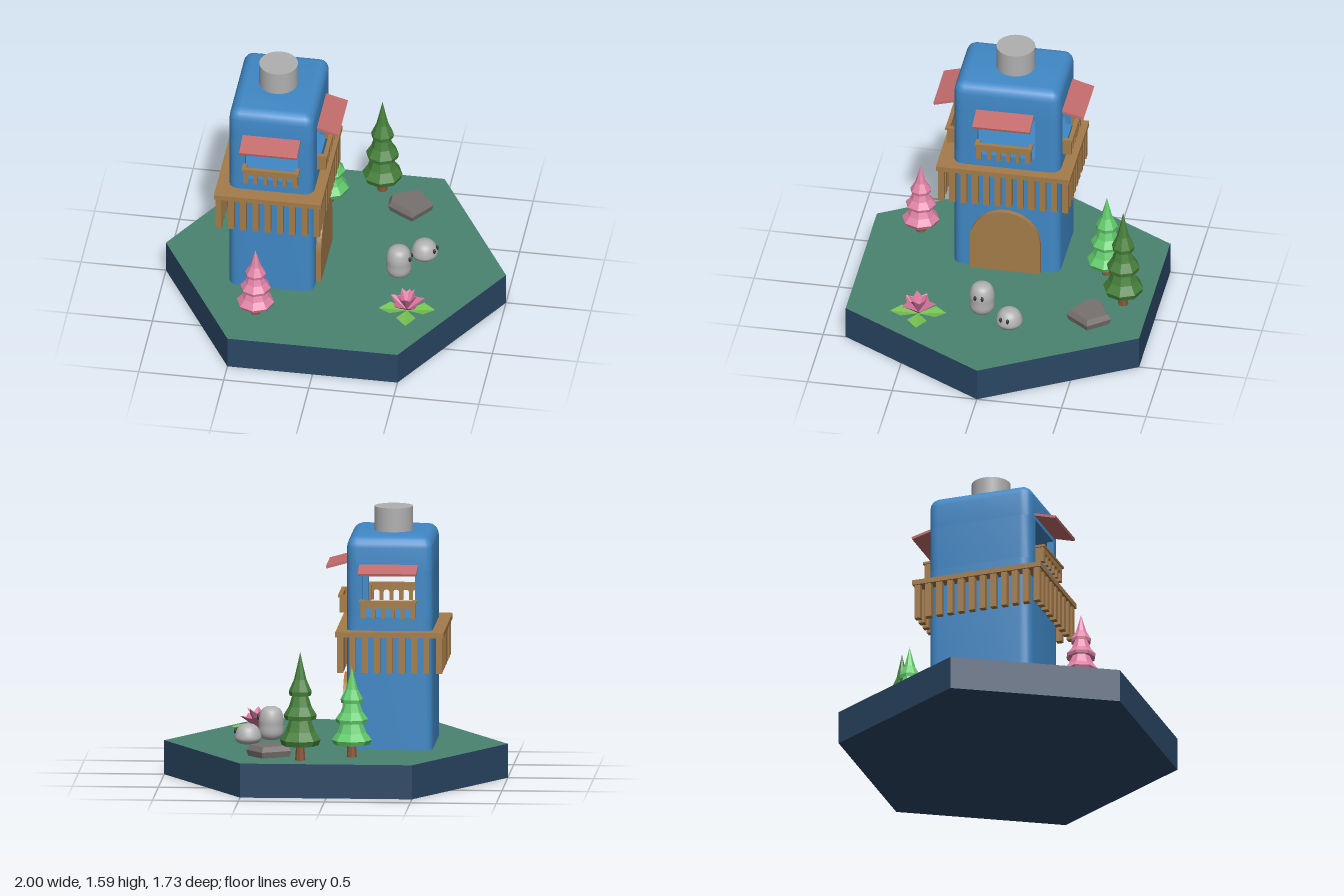
import * as THREE from 'three';
import { toCreasedNormals } from 'three/addons/utils/BufferGeometryUtils.js';
import { ConvexGeometry } from 'three/addons/geometries/ConvexGeometry.js';

const mat = (color, opts = {}) => new THREE.MeshStandardMaterial({ color, ...opts });
const FLAT = { flatShading: true };
const blue = mat(0x4088c6), brown = mat(0xa57c4a), awningRed = mat(0xc46c6c), grey = mat(0xb0b0b0);
const black = mat(0x33343c), bark = mat(0x8a5538, FLAT);

function add(parent, name, geo, material, x = 0, y = 0, z = 0) {
  const m = new THREE.Mesh(geo, material);
  m.name = name;
  m.position.set(x, y, z);
  parent.add(m);
  return m;
}

function group(parent, name, x = 0, y = 0, z = 0, ry = 0) {
  const g = new THREE.Group();
  g.name = name;
  g.position.set(x, y, z);
  g.rotation.y = ry;
  parent.add(g);
  return g;
}

// Extrudes a floor plan upwards
function rise(shape, depth, steps = 1) {
  return new THREE.ExtrudeGeometry(shape, { depth, steps, bevelEnabled: false, curveSegments: 5 }).rotateX(-Math.PI / 2);
}

const W = 0.25, D = 0.315, R = 0.065; // tower half width, half depth, edge radius
const FLOOR = 0.98, CEILING = 1.25, TOP = 1.45;

function towerPlan() {
  const s = new THREE.Shape();
  s.moveTo(-W + R, -D);
  s.lineTo(W - R, -D).quadraticCurveTo(W, -D, W, -D + R);
  s.lineTo(W, D - R).quadraticCurveTo(W, D, W - R, D);
  s.lineTo(-W + R, D).quadraticCurveTo(-W, D, -W, D - R);
  s.lineTo(-W, -D + R).quadraticCurveTo(-W, -D, -W + R, -D);
  return s;
}

function buildTower(root) {
  const t = group(root, 'tower', -0.33, 0, 0.025);
  const smooth = g => toCreasedNormals(g, 0.6);
  add(t, 'lowerTower', smooth(rise(towerPlan(), FLOOR - 0.2)), blue, 0, 0.2);

  // Window storey: closed back wall and two corner piers around an open room
  const T = 0.04, back = new THREE.Shape();
  back.moveTo(-0.15, D);
  back.lineTo(-W + R, D).quadraticCurveTo(-W, D, -W, D - R);
  back.lineTo(-W, -D + R).quadraticCurveTo(-W, -D, -W + R, -D);
  back.lineTo(-0.15, -D).lineTo(-0.15, -D + T).lineTo(-W + T, -D + T);
  back.lineTo(-W + T, D - T).lineTo(-0.15, D - T).closePath();
  add(t, 'backWall', smooth(rise(back, CEILING - FLOOR)), blue, 0, FLOOR);
  for (const s of [-1, 1]) {
    const p = new THREE.Shape();
    p.moveTo(0.16, s * D);
    p.lineTo(W - R, s * D).quadraticCurveTo(W, s * D, W, s * (D - R));
    p.lineTo(W, s * 0.17).lineTo(W - T, s * 0.17).lineTo(W - T, s * (D - T)).lineTo(0.16, s * (D - T)).closePath();
    add(t, 'cornerPier', smooth(rise(p, CEILING - FLOOR)), blue, 0, FLOOR);
  }

  // Roof block: the upper levels are drawn in along a quarter circle
  const roof = rise(towerPlan(), 5, 5), pos = roof.attributes.position;
  for (let i = 0; i < pos.count; i++) {
    const level = Math.round(pos.getY(i)), a = Math.max(0, level - 1) / 4 * 1.48;
    const x = pos.getX(i), z = pos.getZ(i);
    const cx = THREE.MathUtils.clamp(x, R - W, W - R), cz = THREE.MathUtils.clamp(z, R - D, D - R);
    const y = level === 0 ? CEILING : TOP - R + R * Math.sin(a);
    pos.setXYZ(i, cx + (x - cx) * Math.cos(a), y, cz + (z - cz) * Math.cos(a));
  }
  add(t, 'roof', smooth(roof), blue);
  add(t, 'chimney', new THREE.CylinderGeometry(0.113, 0.113, 0.16, 32), grey, -0.005, 1.51, -0.01);

  // Arched door
  const door = new THREE.Shape();
  door.moveTo(-0.207, 0).lineTo(0.207, 0).lineTo(0.207, 0.2);
  door.absarc(0, 0.2, 0.207, 0, Math.PI, false);
  door.closePath();
  const doorGeo = new THREE.ExtrudeGeometry(door, { depth: 0.035, bevelEnabled: false, curveSegments: 16 });
  add(t, 'door', doorGeo.rotateY(Math.PI / 2), brown, W - 0.005, 0.2, 0.003);

  // Windows on three sides, each with a small balcony and an awning
  buildWindow(group(t, 'frontWindow', 0.005, 0, D));
  buildWindow(group(t, 'rearWindow', 0.005, 0, -D, Math.PI));
  buildWindow(group(t, 'sideWindow', W, 0, 0.008, Math.PI / 2));
}

function buildWindow(g) {
  // Balcony panel with round-topped gaps open at the bottom
  const panel = new THREE.Shape(), half = 0.16, gap = 0.017, pitch = 0.057;
  panel.moveTo(-half, 0.09).lineTo(-half, 0);
  for (let i = -2; i <= 2; i++) {
    const c = i * pitch;
    panel.lineTo(c - gap, 0).lineTo(c - gap, 0.045);
    panel.quadraticCurveTo(c - gap, 0.06, c, 0.06).quadraticCurveTo(c + gap, 0.06, c + gap, 0.045);
    panel.lineTo(c + gap, 0);
  }
  panel.lineTo(half, 0).lineTo(half, 0.09).closePath();
  const geo = new THREE.ExtrudeGeometry(panel, { depth: 0.015, bevelEnabled: false, curveSegments: 4 });
  add(g, 'balconyPanel', geo, brown, 0, FLOOR, 0.037);
  add(g, 'balconyRail', new THREE.BoxGeometry(0.335, 0.014, 0.025), brown, 0, 1.077, 0.047);
  for (const s of [-1, 1]) {
    add(g, 'balconySide', new THREE.BoxGeometry(0.015, 0.09, 0.05), brown, s * 0.152, 1.025, 0.02);
    add(g, 'balconySideRail', new THREE.BoxGeometry(0.025, 0.014, 0.06), brown, s * 0.155, 1.077, 0.03);
  }
  const awning = add(g, 'awning', new THREE.BoxGeometry(0.34, 0.015, 0.14), awningRed, 0, 1.265, 0.06);
  awning.rotation.x = 0.27;
}

// Gallery ledge with hanging balusters on all four sides
function buildGallery(root) {
  const g = group(root, 'gallery', -0.335, 0, 0.035);
  add(g, 'galleryLedge', new THREE.BoxGeometry(0.63, 0.03, 0.79), brown, 0, 0.885);
  const post = new THREE.BoxGeometry(0.036, 0.212, 0.036);
  for (const s of [-1, 1]) {
    for (let i = 0; i < 9; i++) add(g, 'baluster', post, brown, -0.288 + i * 0.072, 0.766, s * 0.367);
    for (let i = 1; i < 11; i++) add(g, 'baluster', post, brown, s * 0.288, 0.766, -0.367 + i * 0.0667);
  }
}

// Three-tier conifer
function buildTree(root, name, x, z, height, radius, color) {
  const g = group(root, name, x, 0.2, z);
  add(g, 'trunk', new THREE.CylinderGeometry(0.018, 0.03, height * 0.25, 8), bark, 0, height * 0.125);
  const profile = [[0, 0.17], [0.9, 0.14], [1, 0.19], [0.72, 0.27], [0.48, 0.4], [0.77, 0.38], [0.81, 0.42],
    [0.55, 0.5], [0.34, 0.63], [0.53, 0.6], [0.56, 0.64], [0.3, 0.75], [0.14, 0.88], [0, 1]];
  const pts = profile.map(([r, y]) => new THREE.Vector2(r * radius, y * height));
  add(g, 'foliage', new THREE.LatheGeometry(pts, 8), mat(color, FLAT));
}

// Little round creature looking towards local +x
function buildCreature(root, name, x, z, ry, profile, eyeX, eyeY) {
  const g = group(root, name, x, 0.2, z, ry);
  const curve = new THREE.SplineCurve(profile.map(p => new THREE.Vector2(...p)));
  add(g, 'body', new THREE.LatheGeometry(curve.getPoints(24), 28), grey);
  for (const s of [-1, 1]) {
    const eye = add(g, 'eye', new THREE.SphereGeometry(0.011, 12, 8), black, eyeX, eyeY, s * 0.022);
    eye.scale.set(0.8, 1.5, 0.8);
  }
}

// Folded pointed leaf lying along +x, lifted by the given tilt
function leaf(parent, name, length, width, fold, tilt, angle, material, y) {
  const g = new THREE.BufferGeometry();
  g.setAttribute('position', new THREE.Float32BufferAttribute([
    0, 0, 0, length * 0.6, fold, width / 2, length, 0, 0, length * 0.6, fold, -width / 2], 3));
  g.setIndex([0, 1, 2, 0, 2, 3]);
  g.computeVertexNormals();
  const m = add(parent, name, g.rotateZ(tilt), material, 0, y);
  m.rotation.y = angle;
}

function buildFlower(root) {
  const g = group(root, 'flower', 0.487, 0.2, 0.44);
  const green = mat(0x76c552, { flatShading: true, side: THREE.DoubleSide });
  const pink = mat(0xd8749c, { flatShading: true, side: THREE.DoubleSide });
  for (let i = 0; i < 4; i++) leaf(g, 'leaf', 0.165, 0.115, 0.012, 0.06, i * Math.PI / 2 + 0.1, green, 0.008);
  for (let i = 0; i < 5; i++) {
    const a = i * Math.PI * 0.4;
    leaf(g, 'outerPetal', 0.13, 0.09, 0.02, 0.62, a + 0.3, pink, 0.01);
    leaf(g, 'innerPetal', 0.13, 0.07, 0.015, 1.05, a + 0.93, pink, 0.015);
  }
}

function buildRock(root) {
  const outline = [[0.22, -0.59], [0.385, -0.68], [0.485, -0.555], [0.38, -0.415], [0.225, -0.51]];
  const pts = [];
  for (const [y, k] of [[0, 0.92], [0.035, 1], [0.065, 0.85]]) {
    for (const [x, z] of outline) pts.push(new THREE.Vector3((x - 0.35) * k, y, (z + 0.55) * k));
  }
  add(root, 'rock', new ConvexGeometry(pts), mat(0x77716f, FLAT), 0.35, 0.2, -0.55);
}

export function createModel() {
  const root = new THREE.Group();
  root.name = 'towerIsland';

  // Hexagonal ground
  const side = mat(0x2a4764, FLAT), grass = mat(0x4a8270, FLAT);
  add(root, 'ground', new THREE.CylinderGeometry(1, 1, 0.2, 6).rotateY(Math.PI / 6), [side, grass, side], 0, 0.1);

  buildTower(root);
  buildGallery(root);
  buildTree(root, 'pinkTree', -0.38, 0.585, 0.45, 0.11, 0xe083a6);
  buildTree(root, 'lightTree', -0.13, -0.56, 0.53, 0.117, 0x62cb6c);
  buildTree(root, 'darkTree', 0.16, -0.71, 0.635, 0.119, 0x46803a);
  buildRock(root);
  buildCreature(root, 'tallCreature', 0.383, 0.083, -0.1,
    [[0, 0], [0.05, 0.004], [0.072, 0.035], [0.073, 0.08], [0.073, 0.125], [0.058, 0.17], [0.03, 0.19], [0, 0.195]], 0.072, 0.13);
  buildCreature(root, 'smallCreature', 0.505, -0.1, -0.25,
    [[0, 0], [0.05, 0.003], [0.075, 0.025], [0.077, 0.05], [0.062, 0.09], [0.035, 0.113], [0, 0.12]], 0.071, 0.075);
  buildFlower(root);

  // Turn the hexagon's corners to the x axis
  const ground = root.getObjectByName('ground');
  ground.geometry.computeBoundingBox();
  if (ground.geometry.boundingBox.max.x < 0.99) ground.rotation.y = Math.PI / 6;
  return root;
}
